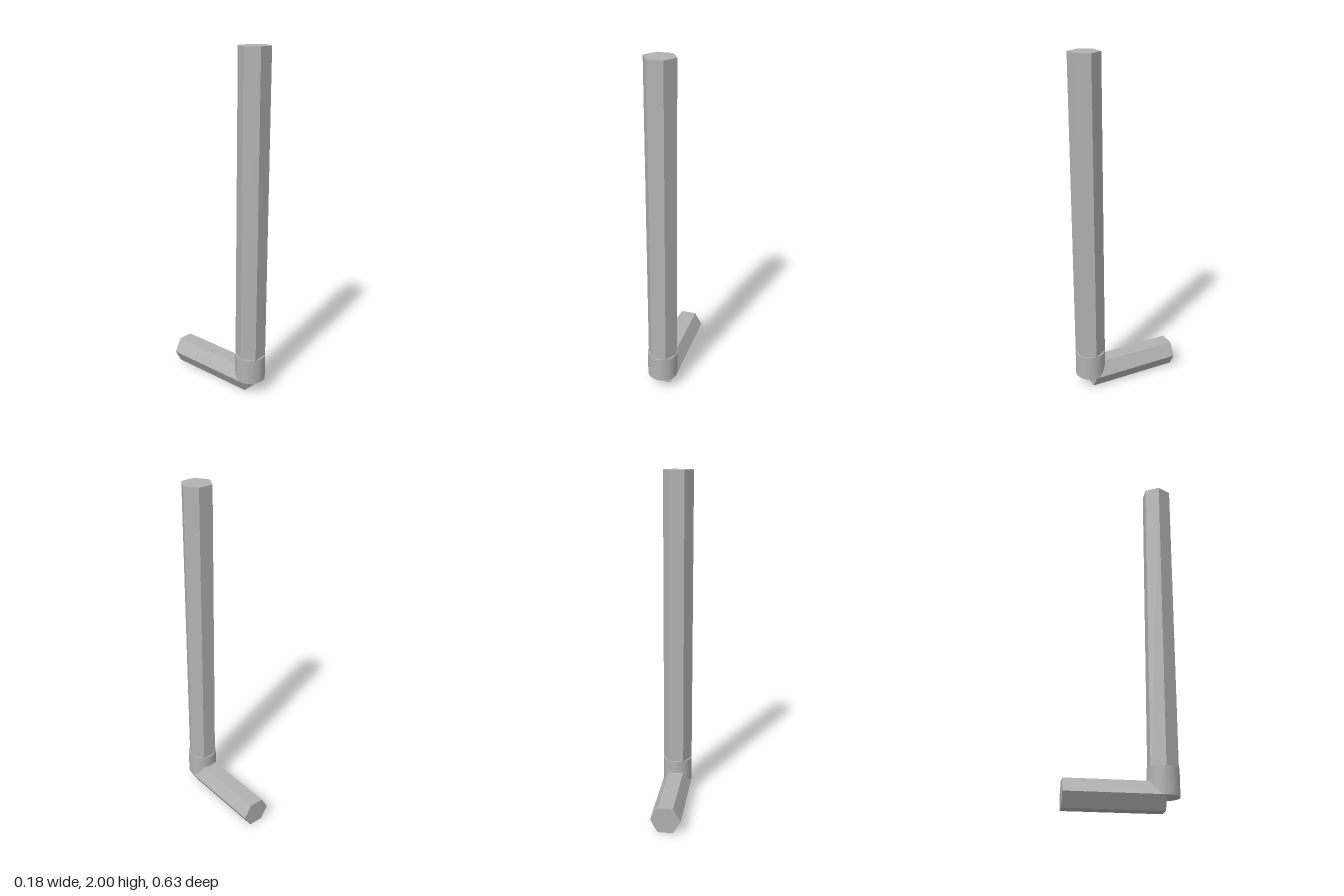
import * as THREE from 'three';

const R = 0.0885;                        // corner radius of the hexagonal bar
const APOTHEM = R * Math.sqrt(3) / 2;    // centre to flat
const BEND_Z = 0.225;                    // axis of the long arm
const BACK_Z = -0.3135;                  // free end of the short arm

export function createModel() {
  const group = new THREE.Group();
  group.name = 'hexKey';

  const steel = new THREE.MeshStandardMaterial({ color: 0xb2b2b2 });
  steel.name = 'steel grey';
  const flatSteel = steel.clone();
  flatSteel.flatShading = true;

  // Hexagonal bar along y with corners on the x axis
  const hexBar = (length) =>
    new THREE.CylinderGeometry(R, R, length, 6, 1, false, Math.PI / 2);

  const add = (name, geometry, material, y, z) => {
    const mesh = new THREE.Mesh(geometry, material);
    mesh.name = name;
    mesh.position.set(0, y, z);
    group.add(mesh);
  };

  // Long upright arm
  const bottom = APOTHEM + 0.002;
  add('longArm', hexBar(2 - bottom), flatSteel, (2 + bottom) / 2, BEND_Z);

  // Short arm running backwards along the ground
  const shortLength = BEND_Z - BACK_Z;
  add('shortArm', hexBar(shortLength).rotateX(Math.PI / 2), flatSteel,
    APOTHEM, (BEND_Z + BACK_Z) / 2);

  // Round collar at the bend
  const collarHeight = 0.153;
  add('bendCollar', new THREE.CylinderGeometry(R, R, collarHeight, 48), steel,
    APOTHEM + collarHeight / 2, BEND_Z);

  return group;
}
